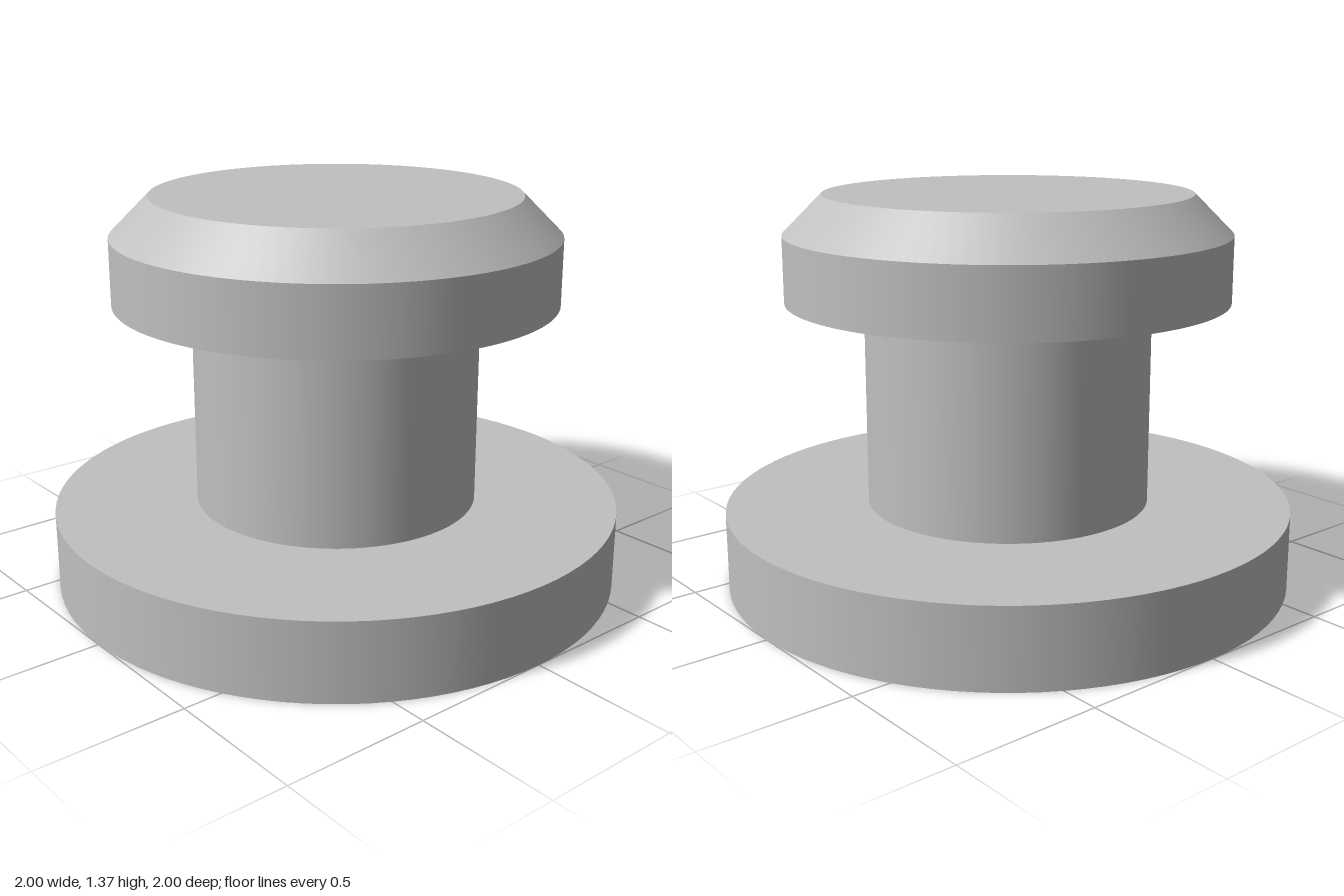
import * as THREE from 'three';

const SEGMENTS = 96;

export function createModel() {
  const group = new THREE.Group();
  group.name = 'knob';

  const grey = new THREE.MeshStandardMaterial({ color: 0xc0c0c0 });
  grey.name = 'grey';

  // One round section standing between two heights
  function section(name, bottomRadius, topRadius, bottom, top, open = false) {
    const geometry = new THREE.CylinderGeometry(topRadius, bottomRadius, top - bottom, SEGMENTS, 1, open);
    const mesh = new THREE.Mesh(geometry, grey);
    mesh.name = name;
    mesh.position.y = (bottom + top) / 2;
    return mesh;
  }

  // Wide foot and narrow stem
  group.add(section('baseFlange', 1, 1, 0, 0.275));
  group.add(section('stem', 0.5, 0.5, 0.275, 1.0, true));

  // Head: straight rim with a chamfered, flat top, as one closed profile
  const profiles = [
    [[0, 1.0], [0.77, 1.0]],
    [[0.77, 1.0], [0.77, 1.23]],
    [[0.77, 1.23], [0.635, 1.365]],
    [[0.635, 1.365], [0, 1.365]],
  ];
  const names = ['headUnderside', 'headRim', 'headChamfer', 'headTop'];
  const head = new THREE.Group();
  head.name = 'head';
  profiles.forEach((points, i) => {
    const outline = points.map(([r, y]) => new THREE.Vector2(r, y));
    const mesh = new THREE.Mesh(new THREE.LatheGeometry(outline, SEGMENTS), grey);
    mesh.name = names[i];
    head.add(mesh);
  });
  group.add(head);

  return group;
}
